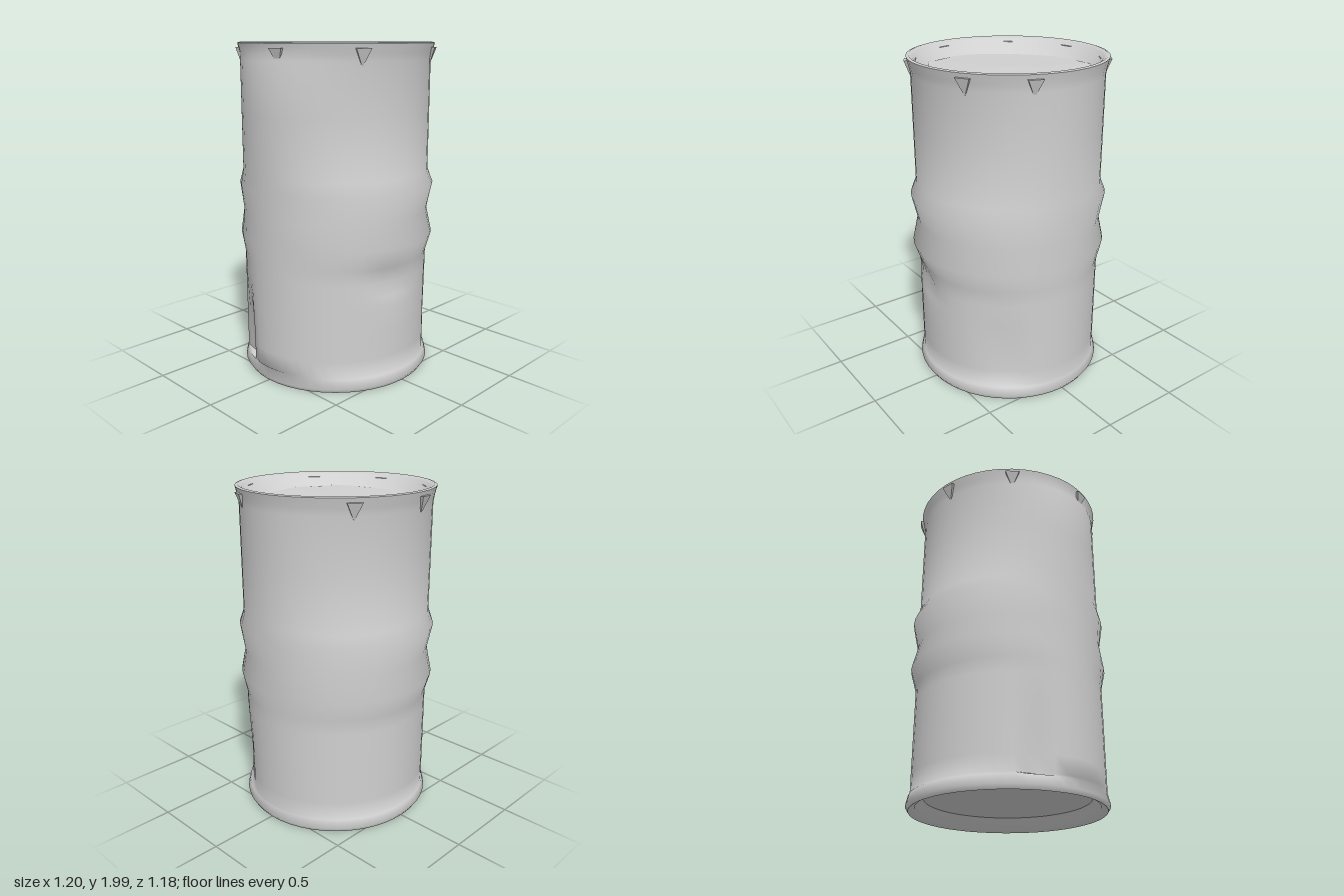
import * as THREE from 'three';
import { toCreasedNormals } from 'three/addons/utils/BufferGeometryUtils.js';

// Turns a profile, then reshapes every vertex by a rule
function turned(profile, segments, crease, rule) {
  const geo = new THREE.LatheGeometry(profile.map(([r, y]) => new THREE.Vector2(r, y)), segments);
  const pos = geo.attributes.position;
  const v = new THREE.Vector3();
  for (let i = 0; i < pos.count; i++) {
    rule(v.fromBufferAttribute(pos, i));
    pos.setXYZ(i, v.x, v.y, v.z);
  }
  return toCreasedNormals(geo, crease);
}

// Dents: angle from the front, height, spreads and depth
const dents = [
  { angle: -0.42, y: 0.1, width: 0.13, height: 0.4, depth: 0.05 },
  { angle: 1.38, y: 0.65, width: 0.25, height: 0.07, depth: 0.03 },
  { angle: 2.5, y: 0.3, width: 0.25, height: 0.25, depth: 0.02 },
];
function dentDepth(angle, y) {
  let depth = 0;
  for (const d of dents) {
    const a = (angle - d.angle) / d.width;
    const h = (y - d.y) / d.height;
    depth += d.depth * Math.exp(-a * a - h * h);
  }
  return depth;
}

export function createModel() {
  const steel = new THREE.MeshStandardMaterial({ color: 0xd0d0d0 });
  steel.name = 'grey steel';
  steel.side = THREE.DoubleSide;
  const drum = new THREE.Group();
  drum.name = 'drum';
  const add = (name, geo) => {
    const mesh = new THREE.Mesh(geo, steel);
    mesh.name = name;
    drum.add(mesh);
    return mesh;
  };

  // Wall with rounded rims, bowl-like recesses and two rolled hoops, flattened at the front
  const body = [[0.47, 0.1], [0.505, 0.08], [0.535, 0.03], [0.572, 0.01], [0.588, 0.035], [0.575, 0.09],
    [0.56, 0.1], [0.56, 0.2], [0.56, 0.35], [0.56, 0.5], [0.56, 0.57], [0.56, 0.65],
    [0.56, 0.74], [0.6, 0.86], [0.555, 1.01], [0.6, 1.17], [0.56, 1.25], [0.56, 1.6],
    [0.56, 1.9], [0.575, 1.94], [0.588, 1.995], [0.572, 2], [0.548, 1.985], [0.5, 1.93], [0.44, 1.9]];
  add('wall', turned(body, 48, 1.1, (v) => {
    const r = Math.hypot(v.x, v.z);
    const side = Math.abs(v.x) / r;
    let target = r * (1 - 0.01 * side);
    if (v.y > 0.095 && v.y < 1.92) {
      const bulge = (v.z > 0 ? 0.026 : 0.012) * (v.z / r) ** 4;
      const hoop = Math.max(0, r - 0.56) * (0.55 + 0.4 * side);
      target = r < 0.52 ? r : Math.max(0.56 + bulge, Math.min(r, 0.56) + hoop);
      if (r > 0.52) target -= dentDepth(Math.atan2(v.x, v.z), v.y);
    }
    v.x *= target / r;
    v.z *= target / r;
  }));

  // Sunken lids, the top one faceted and slightly buckled
  add('topLid', turned([[0.485, 1.912], [0, 1.915]], 9, 0.03, (v) => {
    v.y += 0.03 * v.x * Math.sin(4 * v.z);
  }));
  add('bottomLid', turned([[0, 0.09], [0.5, 0.09]], 24, 0.5, () => {}));

  // Small crimp folds that lean out under the top rim
  const wedge = new THREE.ConeGeometry(0.06, 0.1, 4);
  wedge.rotateY(Math.PI / 4).rotateX(Math.PI).scale(1, 1, 0.8);
  const crimp = toCreasedNormals(wedge, 0.1);
  for (const angle of [0.21, -0.66, 1.04, 2.1, 2.75, -1.4, -2.2]) {
    const fold = add('rimCrimp', crimp);
    fold.position.set(0.558 * Math.sin(angle), 1.92, 0.563 * Math.cos(angle));
    fold.rotation.y = angle;
  }
  return drum;
}
